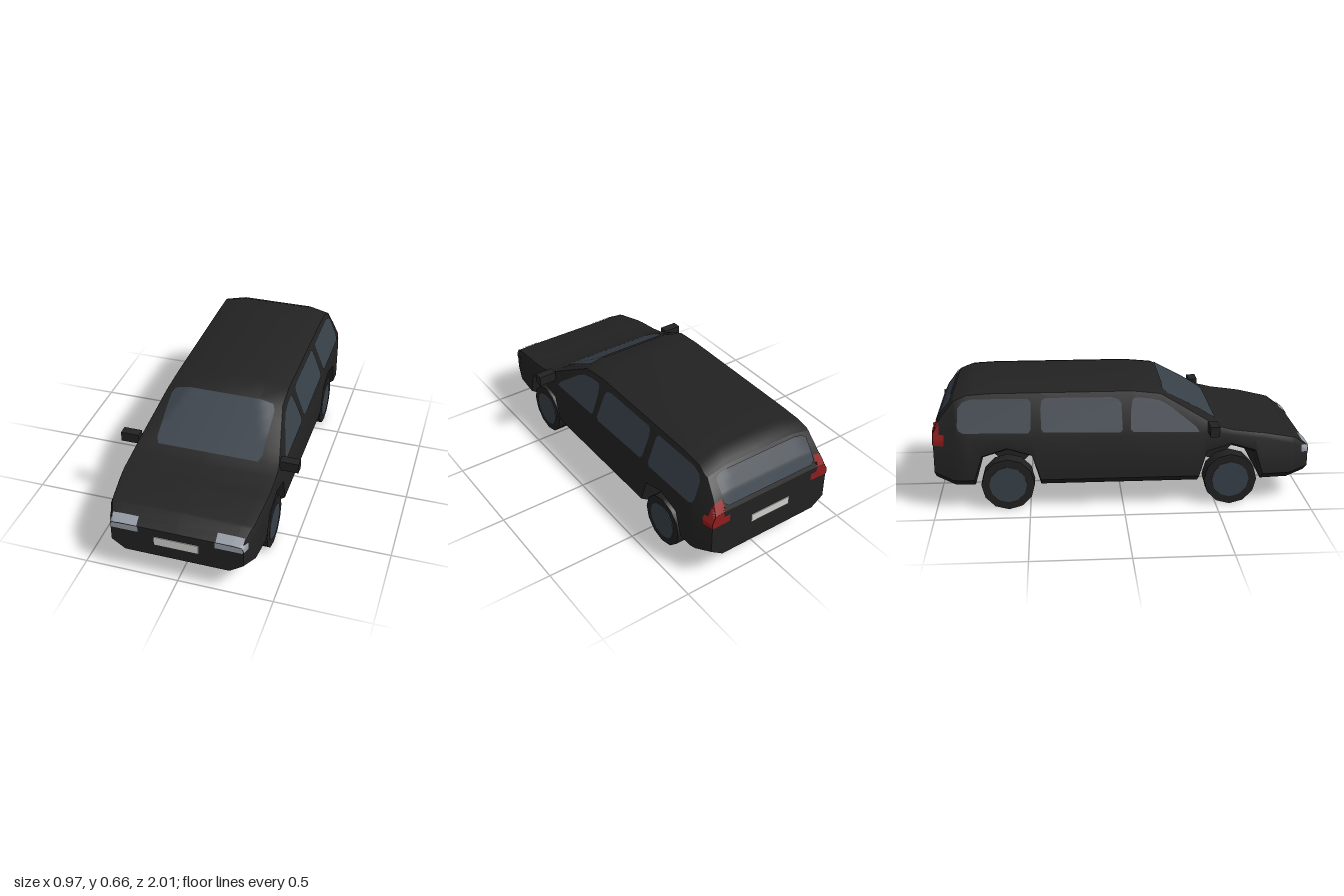
import * as THREE from 'three';
import { toCreasedNormals } from 'three/addons/utils/BufferGeometryUtils.js';

const mat = (name, color, side = THREE.FrontSide) => {
  const m = new THREE.MeshStandardMaterial({ color, side });
  m.name = name;
  return m;
};

// Piecewise linear lookup through [key, value] pairs with rising keys
function lerpTable(table, k) {
  if (k <= table[0][0]) return table[0][1];
  for (let i = 1; i < table.length; i++) {
    const [k0, v0] = table[i - 1], [k1, v1] = table[i];
    if (k <= k1) return k1 === k0 ? v1 : v0 + (v1 - v0) * (k - k0) / (k1 - k0);
  }
  return table[table.length - 1][1];
}

// Body profiles along z, from tail to nose
const TOP = [[-1, 0.44], [-0.96, 0.52], [-0.89, 0.62], [-0.82, 0.652], [-0.7, 0.66], [0.05, 0.66],
  [0.2, 0.642], [0.5, 0.45], [0.58, 0.428], [0.75, 0.405], [0.92, 0.37], [1, 0.31]];
const BOTTOM = [[-1, 0.165], [-0.9, 0.125], [-0.79, 0.125], [-0.745, 0.28], [-0.615, 0.32], [-0.485, 0.28],
  [-0.44, 0.12], [0.405, 0.12], [0.445, 0.28], [0.575, 0.32], [0.705, 0.28], [0.75, 0.12], [0.9, 0.12], [1, 0.145]];
const WIDTH = [[-1, 0.365], [-0.87, 0.398], [0.7, 0.398], [0.9, 0.38], [1, 0.345]];
const BELT = [[-1, 0.39], [-0.87, 0.41], [0.5, 0.41], [0.75, 0.375], [0.92, 0.335], [1, 0.285]];

// Right half of the cross-section at z: sill, flank, belt, shoulder, roof
function section(z) {
  const b = lerpTable(BOTTOM, z), w = lerpTable(WIDTH, z);
  const belt = lerpTable(BELT, z), top = lerpTable(TOP, z);
  const ys = belt + (top - belt) * 0.87;
  const xs = w - (ys - belt) * 0.39;
  const xe = xs * (0.9 - (top - belt) * 1.2);
  const low = b + 0.05 - 0.02 * Math.min(1, Math.max(0, (b - 0.165) / 0.1));
  return [[0, b], [w - 0.07, b], [w, low], [w, belt], [xs, ys], [xe, top], [0, top]];
}
const topY = (x, z) => lerpTable(section(z).slice(3).reverse(), Math.abs(x));
const sideX = (y, z) => lerpTable(section(z).slice(1, 6).map(([px, py]) => [py, px]), y);

function bodyGeometry() {
  const extra = [-0.98, -0.93, 0.28, 0.36, 0.43, 0.96];
  const stations = [...new Set([TOP, BOTTOM, WIDTH, BELT].flat().map(p => p[0]).concat(extra))].sort((a, b) => a - b);
  const pos = [], idx = [];
  for (const z of stations) {
    const half = section(z);
    const left = half.slice(1, -1).reverse().map(([x, y]) => [-x, y]);
    for (const [x, y] of [...half, ...left]) pos.push(x, y, z);
  }
  const n = 12, last = (stations.length - 1) * n;
  for (let i = 0; i < last; i += n) {
    for (let j = 0; j < n; j++) {
      const k = (j + 1) % n;
      idx.push(i + j, i + k, i + n + k, i + j, i + n + k, i + n + j);
    }
  }
  for (let j = 1; j < n - 1; j++) idx.push(0, j + 1, j, last, last + j, last + j + 1);
  const g = new THREE.BufferGeometry();
  g.setAttribute('position', new THREE.Float32BufferAttribute(pos, 3));
  g.setIndex(idx);
  return toCreasedNormals(g, 0.45);
}

// Grid surface from a function of u, v in 0..1
function patch(fn, nu, nv) {
  const g = new THREE.PlaneGeometry(1, 1, nu, nv), p = g.attributes.position;
  for (let i = 0; i < p.count; i++) p.setXYZ(i, ...fn(p.getX(i) + 0.5, 0.5 - p.getY(i)));
  g.computeVertexNormals();
  return g;
}

// Panel laid on the upper surface between z0 and z1, with clipped corners
function upperPanel(x0, x1, z0, z1, dz, clip = 0) {
  return patch((u, v) => {
    const z = z0 + (z1 - z0) * v;
    const c = clip * Math.max(0, 1 - Math.min(v, 1 - v) * 10);
    const x = x0 + c + (x1 - x0 - 2 * c) * u;
    return [x, topY(x, z) + 0.004, z + dz];
  }, 20, 20);
}

// Panel laid on the flank
function sidePanel(s, y0, y1, z0, z1) {
  return patch((u, v) => {
    const z = z0 + (z1 - z0) * u, y = y0 + (y1 - y0) * v;
    return [s * (sideX(y, z) + 0.004), y, z];
  }, 6, 8);
}

const flatShape = pts => new THREE.ShapeGeometry(new THREE.Shape(pts.map(p => new THREE.Vector2(...p))));

// Side window outlines as z, y
const WINDOWS = {
  frontSideWindow: [[0.4, 0.42], [0.385, 0.445], [0.25, 0.55], [0.2, 0.578], [0.13, 0.592], [0.065, 0.597],
    [0.05, 0.585], [0.04, 0.53], [0.038, 0.44], [0.05, 0.428]],
  middleSideWindow: [[-0.005, 0.44], [-0.01, 0.57], [-0.025, 0.59], [-0.06, 0.6], [-0.41, 0.603], [-0.428, 0.59],
    [-0.435, 0.55], [-0.432, 0.45], [-0.42, 0.434], [-0.02, 0.425]],
  rearSideWindow: [[-0.488, 0.45], [-0.485, 0.58], [-0.5, 0.6], [-0.79, 0.603], [-0.84, 0.59], [-0.865, 0.56],
    [-0.87, 0.47], [-0.862, 0.448], [-0.84, 0.437], [-0.5, 0.432]],
};

export function createModel() {
  const car = new THREE.Group();
  car.name = 'car';
  const paint = mat('blackPaint', 0x222222);
  const rubber = mat('tyreRubber', 0x202020);
  const glass = mat('tintedGlass', 0x373f48, THREE.DoubleSide);
  const lamp = mat('headlightGrey', 0x969ca6, THREE.DoubleSide);
  const red = mat('tailLightRed', 0x921c1c, THREE.DoubleSide);
  const plateWhite = mat('plateWhite', 0xcfcfcc, THREE.DoubleSide);
  const add = (name, geometry, material, x = 0, y = 0, z = 0) => {
    const m = new THREE.Mesh(geometry, material);
    m.name = name;
    m.position.set(x, y, z);
    car.add(m);
    return m;
  };

  add('body', bodyGeometry(), paint);
  add('windscreen', upperPanel(-0.287, 0.287, 0.21, 0.5, 0.003, 0.015), glass);
  add('rearWindow', upperPanel(-0.285, 0.285, -0.9, -0.99, -0.004, 0.02), glass);

  // Number plates
  add('frontPlate', new THREE.BoxGeometry(0.232, 0.048, 0.008), plateWhite, 0, 0.241, 1);
  add('rearPlate', new THREE.BoxGeometry(0.24, 0.046, 0.008), plateWhite, 0, 0.31, -1);

  for (const s of [1, -1]) {
    const side = s > 0 ? 'left' : 'right';

    // Side windows
    for (const [name, outline] of Object.entries(WINDOWS)) {
      const g = flatShape(outline), p = g.attributes.position;
      for (let i = 0; i < p.count; i++) {
        const z = p.getX(i), y = p.getY(i);
        p.setXYZ(i, s * (sideX(y, z) + 0.004), y, z);
      }
      g.computeVertexNormals();
      add(`${side} ${name}`, g, glass);
    }

    // Headlights wrap over the nose and flank
    add(`${side} headlightFront`, flatShape([[s * 0.2, 0.277], [s * 0.34, 0.277], [s * 0.347, 0.287],
      [s * 0.338, 0.308], [s * 0.2, 0.312]]), lamp, 0, 0, 1.003);
    add(`${side} headlightTop`, upperPanel(s * 0.205, s * 0.342, 0.96, 1, 0.003), lamp);
    add(`${side} headlightSide`, sidePanel(s, 0.28, 0.318, 0.962, 1), lamp);

    // Tail lights wrap round the corner and rise beside the rear window
    add(`${side} tailLightRear`, flatShape([[s * 0.26, 0.37], [s * 0.368, 0.366], [s * 0.368, 0.4],
      [s * 0.348, 0.436], [s * 0.3, 0.44], [s * 0.295, 0.412], [s * 0.26, 0.41]]), red, 0, 0, -1.003);
    add(`${side} tailLightTop`, upperPanel(s * 0.292, s * 0.345, -0.968, -1, -0.003), red);
    add(`${side} tailLightSide`, sidePanel(s, 0.366, 0.425, -1, -0.942), red);
    add(`${side} tailLightSideUpper`, sidePanel(s, 0.425, 0.47, -1, -0.966), red);

    // Door mirrors
    add(`${side} mirror`, new THREE.BoxGeometry(0.1, 0.054, 0.05), paint, s * 0.435, 0.447, 0.47);

    // Wheels with flat hub discs
    for (const [end, z] of [['front', 0.575], ['rear', -0.615]]) {
      const tyre = new THREE.CylinderGeometry(0.142, 0.142, 0.09, 12).rotateZ(Math.PI / 2);
      const hub = new THREE.CylinderGeometry(0.1, 0.1, 0.006, 12).rotateZ(Math.PI / 2);
      add(`${side} ${end} tyre`, toCreasedNormals(tyre, 0.6), rubber, s * 0.342, 0.142, z);
      add(`${side} ${end} hubDisc`, hub, glass, s * 0.387, 0.142, z);
    }
  }
  return car;
}
